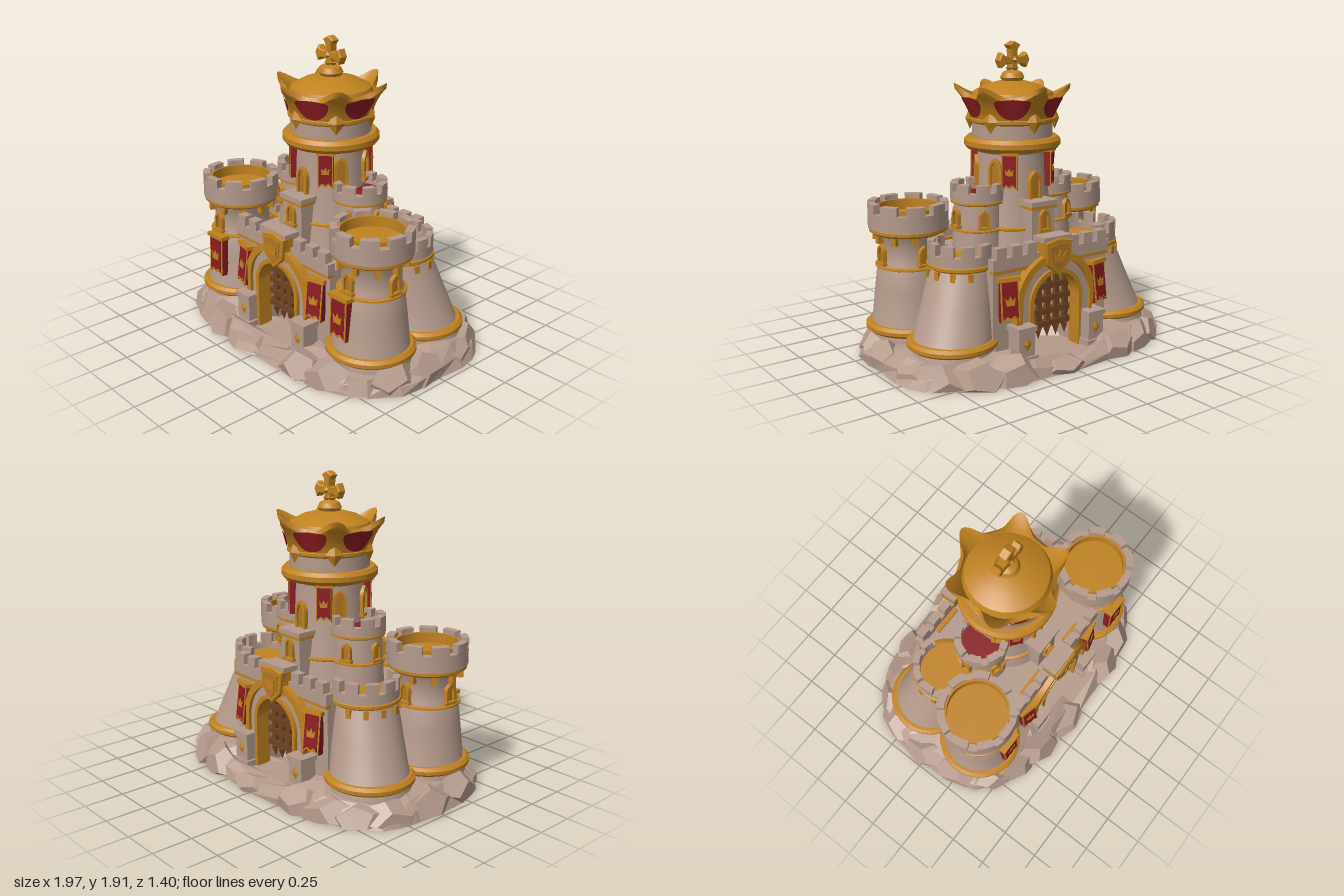
import * as THREE from 'three';
import { toCreasedNormals } from 'three/addons/utils/BufferGeometryUtils.js';
import { ParametricGeometry } from 'three/addons/geometries/ParametricGeometry.js';

const mat = (name, color) => Object.assign(new THREE.MeshStandardMaterial({ color }), { name });
const stone = mat('stone', 0xb59a8b), gold = mat('gold', 0xc08220), paleGold = mat('shaded gold', 0xb07622);
const red = mat('red cloth', 0x8a1b20), wood = mat('brown wood', 0x70431f);
const PI = Math.PI;

let seed = 7;
const rnd = () => (seed = (seed * 16807) % 2147483647) / 2147483647;

function add(parent, name, geo, material, x = 0, y = 0, z = 0, ry = 0, crease = 0.6) {
  const mesh = new THREE.Mesh(toCreasedNormals(geo, crease), material);
  mesh.name = name;
  mesh.position.set(x, y, z);
  mesh.rotation.y = ry;
  parent.add(mesh);
  return mesh;
}
function sub(parent, name, x = 0, y = 0, z = 0, ry = 0) {
  const g = new THREE.Group();
  g.name = name;
  g.position.set(x, y, z);
  g.rotation.y = ry;
  parent.add(g);
  return g;
}
const box = (p, name, m, w, h, d, x, y, z) => add(p, name, new THREE.BoxGeometry(w, h, d), m, x, y, z);
const lathe = (pts, seg = 40) => new THREE.LatheGeometry(pts.map(p => new THREE.Vector2(...p)), seg);
const poly = pts => new THREE.Shape(pts.map(p => new THREE.Vector2(...p)));
const extrude = (shape, depth, bevel = 0) => new THREE.ExtrudeGeometry(shape, {
  depth, bevelEnabled: bevel > 0, bevelSize: bevel, bevelThickness: bevel, bevelSegments: 1, curveSegments: 16 });

// Rounded gold moulding, solid to the axis
const moulding = (p, r, y, h, x = 0, z = 0) => add(p, 'goldRing', lathe(
  [[0, y], [r - 0.02, y], [r, y + h * 0.3], [r, y + h * 0.7], [r - 0.02, y + h], [0, y + h]]), gold, x, 0, z);

// Upright block following an arc; angle 0 is +x, positive turns to -z
function sector(r0, r1, a0, a1, h) {
  const s = new THREE.Shape();
  s.absarc(0, 0, r1, a0, a1, false);
  s.absarc(0, 0, r0, a1, a0, true);
  return extrude(s, h).rotateX(-PI / 2);
}
function battlement(p, r0, r1, y, wallH, merlonH, n, a0 = 0, a1 = 2 * PI) {
  add(p, 'parapet', sector(r0, r1, a0, a1, wallH), stone, 0, y);
  const step = (a1 - a0) / n;
  for (let i = 0; i < n; i++) {
    const a = a0 + (i + 0.17) * step;
    add(p, 'merlon', sector(r0, r1, a, a + step * 0.66, merlonH), stone, 0, y + wallH);
  }
}
function corbels(p, n, r, y, h, angle) {
  for (let i = 0; i < n; i++) {
    const a = angle(i);
    add(p, 'corbel', new THREE.BoxGeometry(0.03, h, 0.04), gold, Math.sin(a) * r, y, Math.cos(a) * r, a);
  }
}

// Pointed window with frame, pane and sill, base centre at origin
function archShape(w, h) {
  const s = new THREE.Shape();
  s.moveTo(-w, 0); s.lineTo(w, 0); s.lineTo(w, h * 0.6);
  s.quadraticCurveTo(w, h * 0.85, 0, h);
  s.quadraticCurveTo(-w, h * 0.85, -w, h * 0.6);
  return s;
}
function windowAt(p, r, y, a, w = 0.038, h = 0.13) {
  const g = sub(p, 'window', Math.sin(a) * r, y, Math.cos(a) * r, a);
  const s = archShape(w, h);
  s.holes.push(new THREE.Path(archShape(w * 0.62, h * 0.86).getPoints(8).map(v => v.setY(v.y + h * 0.03))));
  add(g, 'windowFrame', extrude(s, 0.055), gold, 0, 0, -0.04);
  add(g, 'windowPane', extrude(archShape(w * 0.7, h * 0.9), 0.04), paleGold, 0, 0, -0.04);
  box(g, 'windowSill', gold, w * 2.5, 0.018, 0.055, 0, 0, -0.005);
}

const crownOutline = (w, h) => poly([[-w * 0.8, -h], [w * 0.8, -h], [w, h * 0.7], [w * 0.45, 0], [0, h], [-w * 0.45, 0], [-w, h * 0.7]]);

// Heavy hanging cloth with gold edging on its face, top centre at origin
function banner(p, w, h, x, y, z, ry = 0, tilt = 0) {
  const g = sub(p, 'banner', x, y, z, ry);
  g.rotation.order = 'YXZ';
  g.rotation.x = tilt;
  const cloth = (a, b) => poly([[-a, 0], [-a, -b], [-a * 0.45, -b * 0.9], [0, -b * 0.97], [a * 0.45, -b * 0.9], [a, -b], [a, 0]]);
  add(g, 'bannerCloth', extrude(cloth(w / 2, h), 0.045), red, 0, 0, -0.045);
  add(g, 'bannerTrim', extrude(cloth(w / 2, h), 0.006), gold);
  add(g, 'bannerFace', extrude(cloth(w * 0.42, h * 0.93), 0.004), red, 0, 0, 0.005);
  add(g, 'bannerEmblem', extrude(crownOutline(w * 0.28, w * 0.25), 0.004), gold, 0, -h * 0.48, 0.008);
  box(g, 'bannerRod', gold, w * 1.2, 0.025, 0.065, 0, 0.005, -0.015);
}

// Portal: square legs with a round arch, opening downwards
const SPRING = 0.38;
function archBand(rIn, rOut, y0, depth) {
  const s = new THREE.Shape();
  s.moveTo(rOut, y0);
  s.absarc(0, SPRING, rOut, 0, PI, false);
  s.lineTo(-rOut, y0); s.lineTo(-rIn, y0);
  s.absarc(0, SPRING, rIn, PI, 0, true);
  s.lineTo(rIn, y0);
  return extrude(s, depth);
}

function gate(root, ry) {
  const g = sub(root, 'gatehouse', 0, 0, 0, ry);
  add(g, 'innerArch', archBand(0.173, 0.2, 0.015, 0.1), gold, 0, 0, 0.36);
  add(g, 'stoneArch', archBand(0.198, 0.27, 0, 0.07), stone, 0, 0, 0.37);
  add(g, 'outerArch', archBand(0.255, 0.3, 0.22, 0.09), gold, 0, 0, 0.37);
  // Portcullis, offset so the two gates do not line up
  for (let i = -2; i <= 2; i++) {
    const x = i * 0.068 + 0.01;
    box(g, 'gateBar', wood, 0.036, 0.37, 0.025, x, 0.365, 0.35);
    add(g, 'gateSpike', new THREE.ConeGeometry(0.03, 0.07, 4), wood, x, 0.15, 0.35).rotation.x = PI;
  }
  for (let j = 0; j < 4; j++) box(g, 'gateCrossbar', wood, 0.37, 0.036, 0.04, 0, 0.21 + j * 0.08, 0.35);
  // Crest block and plain shield
  box(g, 'crestBlock', gold, 0.19, 0.16, 0.09, 0, 0.68, 0.41);
  box(g, 'crestCap', stone, 0.21, 0.03, 0.11, 0, 0.765, 0.41);
  const shield = k => poly([[-0.1, 0.09], [0, 0.11], [0.1, 0.09], [0.085, -0.04], [0, -0.12], [-0.085, -0.04]].map(v => [v[0] * k, v[1] * k]));
  add(g, 'shieldRim', extrude(shield(0.95), 0.03, 0.006), gold, 0, 0.66, 0.445);
  add(g, 'shieldFace', extrude(shield(0.72), 0.008), paleGold, 0, 0.66, 0.478);
  add(g, 'shieldCrown', extrude(crownOutline(0.045, 0.035), 0.008), gold, 0, 0.665, 0.484);
  for (const s of [1, -1]) {
    // Gate pillars
    box(g, 'pillarFoot', stone, 0.15, 0.1, 0.14, s * 0.265, 0.05, 0.46);
    box(g, 'pillar', stone, 0.115, 0.26, 0.11, s * 0.265, 0.13, 0.46);
    box(g, 'pillarCap', stone, 0.135, 0.03, 0.13, s * 0.265, 0.265, 0.46);
    add(g, 'pillarDiamond', new THREE.OctahedronGeometry(0.042), gold, s * 0.265, 0.175, 0.515).scale.set(0.7, 1, 0.25);
    banner(g, 0.115, 0.25, s * 0.34, 0.56, 0.435, s * 0.25, -0.12);
    // Curtain wall top, with a gold step on the walk behind it
    box(g, 'wallBand', gold, 0.33, 0.022, 0.04, s * 0.27, 0.61, 0.4);
    box(g, 'wallParapet', stone, 0.34, 0.07, 0.055, s * 0.27, 0.655, 0.395);
    box(g, 'wallStep', gold, 0.2, 0.02, 0.035, s * 0.2, 0.64, 0.352);
    for (const x of [0.16, 0.27, 0.38]) box(g, 'wallMerlon', stone, 0.07, 0.07, 0.055, s * x, 0.72, 0.395);
  }
  // Porch against the keep
  box(g, 'porch', stone, 0.17, 0.34, 0.12, 0, 0.77, 0.26);
  box(g, 'porchCap', stone, 0.2, 0.03, 0.13, 0, 0.955, 0.27);
  box(g, 'porchTrim', gold, 0.19, 0.02, 0.125, 0, 0.93, 0.267);
  windowAt(g, 0.325, 0.79, 0, 0.038, 0.13);
}

function frontTower(root, s) {
  const t = sub(root, 'frontTower', s * 0.615, 0, 0.24);
  add(t, 'towerBody', lathe([[0, 0], [0.255, 0], [0.25, 0.16], [0.235, 0.21], [0.212, 0.42], [0.195, 0.56], [0.18, 0.6], [0.175, 0.72], [0.22, 0.8], [0, 0.8]]), stone);
  moulding(t, 0.274, 0.155, 0.055);
  moulding(t, 0.208, 0.55, 0.025);
  moulding(t, 0.24, 0.765, 0.045);
  corbels(t, 10, 0.2, 0.745, 0.06, i => (i + 0.5) * PI / 5);
  // Gold floor and inner lining of the parapet
  add(t, 'towerFloor', new THREE.CylinderGeometry(0.2, 0.2, 0.05, 32), gold, 0, 0.835);
  add(t, 'parapetLining', sector(0.188, 0.203, 0, 2 * PI, 0.115), gold, 0, 0.81);
  battlement(t, 0.2, 0.247, 0.8, 0.1, 0.055, 9, 0.2, 2 * PI + 0.2);
  for (const a of [0, s * PI / 2, PI]) windowAt(t, 0.185, 0.585, a, 0.038, 0.12);
  banner(t, 0.13, 0.26, -s * 0.025, 0.555, 0.235, 0, -0.04);
}

function backBastion(root, s) {
  // Cone leaning inwards
  const geo = lathe([[0, 0], [0.26, 0], [0.255, 0.16], [0.238, 0.21], [0.215, 0.42], [0.195, 0.62], [0, 0.62]]);
  const p = geo.attributes.position;
  for (let i = 0; i < p.count; i++) {
    const k = Math.max(0, (p.getY(i) - 0.18) / 0.44);
    p.setXYZ(i, p.getX(i) + s * (0.59 - 0.12 * k), p.getY(i), p.getZ(i) - 0.21 + 0.07 * k);
  }
  add(root, 'bastionBody', geo, stone);
  moulding(root, 0.272, 0.155, 0.055, s * 0.59, -0.21);
  moulding(root, 0.215, 0.605, 0.045, s * 0.47, -0.14);
  add(root, 'bastionFloor', new THREE.CylinderGeometry(0.18, 0.18, 0.02, 32), gold, s * 0.47, 0.65, -0.14);
  const b = sub(root, 'bastionTop', s * 0.47, 0, -0.14);
  const a0 = s > 0 ? -PI / 2 : PI / 2 - 0.5;
  battlement(b, 0.165, 0.207, 0.64, 0.06, 0.065, 6, a0, a0 + PI + 0.5);
  corbels(b, 6, 0.2, 0.585, 0.05, i => s * (0.3 + i * 0.5));
}

// Point on the flared crown wall; t runs from the band to the rim
function crownPoint(a, t, off, out) {
  const w = Math.pow(0.5 + 0.5 * Math.cos(6 * a), 2);
  const r = 0.25 + 0.045 * t + t * t * 0.095 * w + off;
  return out.set(r * Math.sin(a), 1.42 + t * (0.17 + 0.065 * w * (1.6 - 0.6 * t)), r * Math.cos(a));
}

function crown(root) {
  const c = sub(root, 'crown', 0, 0, 0, -0.1);
  add(c, 'crownWall', new ParametricGeometry((u, v, o) =>
    crownPoint(u * 2 * PI, v < 0.5 ? 2 * v : 2 - 2 * v, v < 0.5 ? 0 : -0.03, o), 96, 12), gold);
  moulding(c, 0.265, 1.415, 0.045);
  add(c, 'crownDome', lathe([[0, 1.5], [0.24, 1.5], [0.262, 1.56], [0.245, 1.605], [0.17, 1.645], [0.08, 1.67], [0, 1.675]]), gold);
  const v = new THREE.Vector3();
  for (let i = 0; i < 6; i++) {
    const a = i * PI / 3, patch = new THREE.RingGeometry(0.001, 1, 28, 4), p = patch.attributes.position;
    for (let k = 0; k < p.count; k++) {
      crownPoint(a + PI / 6 + p.getX(k) * 0.36, 0.58 + p.getY(k) * 0.36, 0.008, v);
      p.setXYZ(k, v.x, v.y, v.z);
    }
    add(c, 'crownRedPanel', patch, red);
    add(c, 'crownDiamond', new THREE.OctahedronGeometry(0.07), gold, Math.sin(a) * 0.262, 1.44, Math.cos(a) * 0.262, a).scale.set(0.8, 1, 0.4);
  }
  // Finial ball and cross, facing the front
  const f = sub(root, 'finial');
  add(f, 'finialBall', lathe([[0, 1.66], [0.06, 1.665], [0.075, 1.69], [0.06, 1.72], [0.03, 1.735], [0.04, 1.75], [0, 1.76]], 24), gold);
  for (let i = 0; i < 4; i++) {
    const arm = extrude(poly([[-0.016, 0], [0.016, 0], [0.02, 0.07], [0.038, 0.09], [0, 0.108], [-0.038, 0.09], [-0.02, 0.07]]), 0.045, 0.006);
    add(f, 'crossArm', arm.translate(0, 0, -0.0225).rotateZ(i * PI / 2), gold, 0, 1.795, 0);
  }
  add(f, 'crossHub', new THREE.OctahedronGeometry(0.05), gold, 0, 1.795, 0);
}

function keep(root) {
  const k = sub(root, 'keep');
  add(k, 'keepBody', lathe([[0, 0.6], [0.275, 0.6], [0.25, 0.8], [0.225, 1], [0.215, 1.24], [0.25, 1.27], [0.25, 1.43], [0, 1.43]]), stone);
  moulding(k, 0.265, 0.775, 0.03);
  moulding(k, 0.3, 1.26, 0.075);
  for (const a of [0, 1.1, -1.1, PI, PI - 1.1, PI + 1.1]) windowAt(k, a % PI ? 0.222 : 0.232, a % PI ? 1.04 : 0.96, a, 0.045, 0.18);
  for (const a of [0.7, -0.7, PI - 0.7, PI + 0.7]) banner(k, 0.095, 0.22, Math.sin(a) * 0.25, 1.25, Math.cos(a) * 0.25, a);
  for (const s of [1, -1]) {
    const t = sub(k, 'sideTurret', s * 0.26, 0, 0);
    add(t, 'turretBody', new THREE.CylinderGeometry(0.145, 0.165, 0.36, 32), stone, 0, 0.78);
    moulding(t, 0.168, 0.775, 0.025);
    moulding(t, 0.168, 0.94, 0.03);
    add(t, 'turretFloor', new THREE.CylinderGeometry(0.13, 0.13, 0.03, 32), red, 0, 0.985);
    battlement(t, 0.125, 0.17, 0.965, 0.055, 0.05, 8);
    for (const a of [0.35, PI / 2, PI - 0.35]) windowAt(t, 0.157, 0.81, s * a, 0.033, 0.11);
  }
}

function rocks(root) {
  // Faceted mound, low along the gate passage
  const N = 36, rings = [[1, 0], [0.98, 0.06], [0.9, 0.12], [0.75, 0.155], [0.45, 0.15], [0, 0.06]];
  const bulge = v => Math.sign(v) * Math.abs(v) ** 0.7;
  const edge = a => [0.98 * bulge(Math.cos(a)), 0.65 * bulge(Math.sin(a))];
  const pos = [], idx = [];
  rings.forEach(([k, y], j) => {
    for (let i = 0; i < N; i++) {
      const [x, z] = edge(i / N * 2 * PI), f = k * (1 + (j < 4 ? (rnd() - 0.5) * 0.04 : 0));
      pos.push(x * f, y * (Math.abs(x * f) < 0.24 ? 0.4 : 0.8 + rnd() * 0.35), z * f);
      const a = j * N + i, b = j * N + (i + 1) % N;
      if (j < rings.length - 1) idx.push(a, a + N, b, b, a + N, b + N);
    }
  });
  const base = pos.length / 3;
  pos.push(0, 0, 0);
  for (let i = 0; i < N; i++) idx.push(base, i, (i + 1) % N);
  const geo = new THREE.BufferGeometry();
  geo.setAttribute('position', new THREE.Float32BufferAttribute(pos, 3));
  geo.setIndex(idx);
  add(root, 'rockMound', geo, stone, 0, 0, 0, 0, 0.1);
  // Broad boulders round the edge, cut flat at the ground
  for (let i = 0; i < 20; i++) {
    const a = (i + 0.25 * rnd()) / 20 * 2 * PI, [x, z] = edge(a), low = Math.abs(x) < 0.3;
    const g = new THREE.DodecahedronGeometry(1).rotateX(rnd() * 3).rotateZ(rnd() * 3)
      .scale(0.17 + rnd() * 0.03, low ? 0.075 : 0.12 + rnd() * 0.06, 0.1 + rnd() * 0.02).rotateY(PI / 2 - a);
    const p = g.attributes.position;
    for (let k = 0; k < p.count; k++) p.setY(k, Math.max(0, p.getY(k) + 0.01));
    add(root, 'boulder', g, stone, x * 0.9, 0, z * 0.9, 0, 0.3);
  }
}

export function createModel() {
  const root = new THREE.Group();
  root.name = 'castle';
  rocks(root);
  // Main block with an arched passage from front to back
  const s = new THREE.Shape();
  s.moveTo(-0.43, 0); s.lineTo(-0.19, 0); s.lineTo(-0.19, SPRING);
  s.absarc(0, SPRING, 0.19, PI, 0, true);
  s.lineTo(0.19, 0); s.lineTo(0.43, 0); s.lineTo(0.43, 0.635); s.lineTo(-0.43, 0.635);
  add(root, 'mainBlock', extrude(s, 0.8), stone, 0, 0, -0.4);
  gate(root, 0);
  gate(root, PI);
  for (const side of [1, -1]) {
    frontTower(root, side);
    backBastion(root, side);
  }
  keep(root);
  crown(root);
  return root;
}
